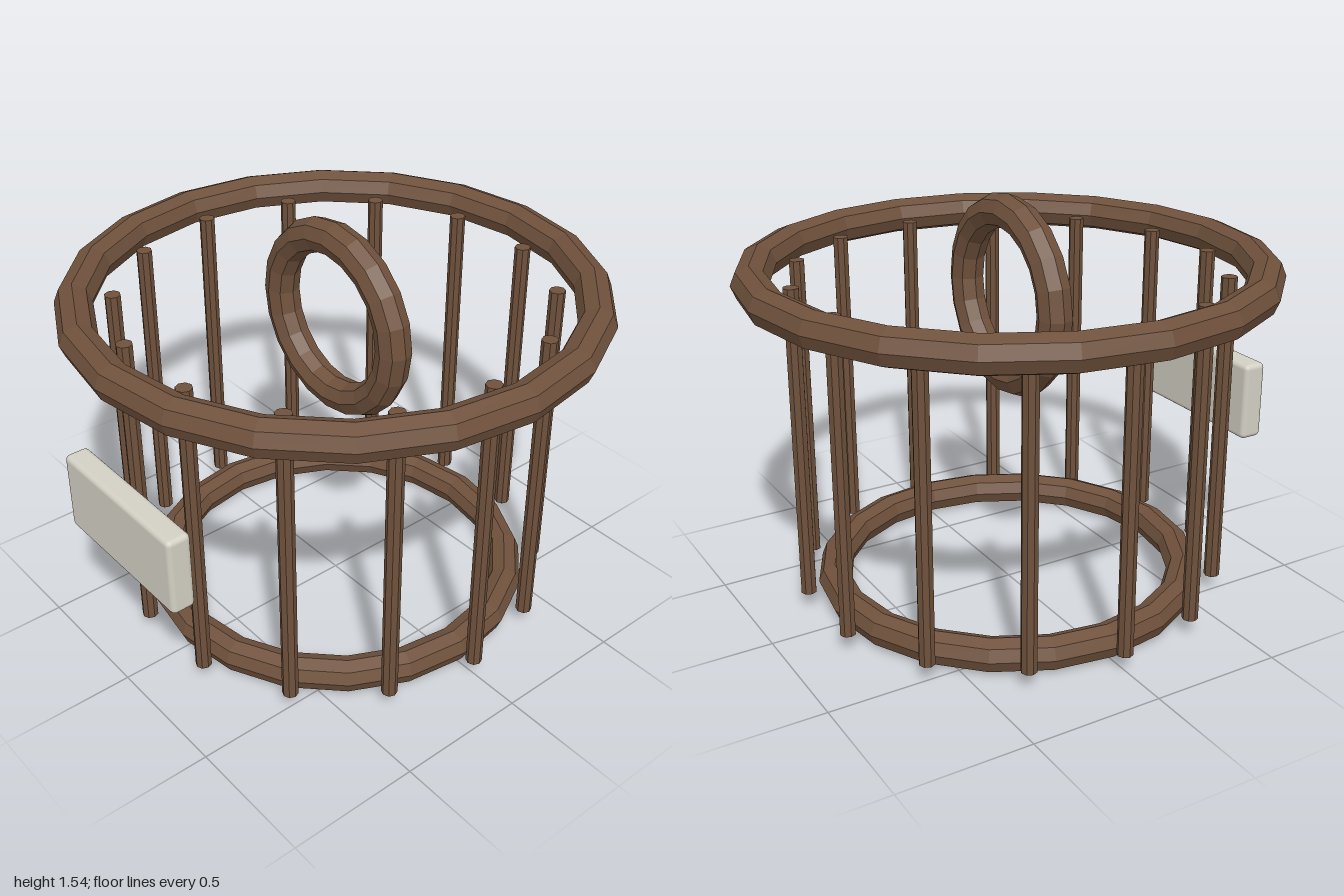
import * as THREE from 'three';
import { RoundedBoxGeometry } from 'three/addons/geometries/RoundedBoxGeometry.js';

export function createModel() {
  const model = new THREE.Group();
  const wood = new THREE.MeshStandardMaterial({ color: 0x6f513c, flatShading: true });
  wood.name = 'brown wood';
  const plateMat = new THREE.MeshStandardMaterial({ color: 0xd3d0c4 });
  plateMat.name = 'pale plate';

  const add = (name, geometry, material, x, y, z) => {
    const mesh = new THREE.Mesh(geometry, material);
    mesh.name = name;
    mesh.position.set(x, y, z);
    model.add(mesh);
    return mesh;
  };
  const ring = (name, radius, tube, y) =>
    add(name, new THREE.TorusGeometry(radius, tube, 8, 20), wood, 0, y, 0);

  // Horizontal hoops and the upright handle hoop
  ring('topHoop', 0.931, 0.069, 1.272).rotation.x = Math.PI / 2;
  ring('bottomHoop', 0.685, 0.064, 0.07).rotation.x = Math.PI / 2;
  ring('handleHoop', 0.315, 0.065, 1.17);

  // Upright bars standing in a circle
  const barCount = 14, barRadius = 0.797, barBottom = 0.073, barTop = 1.275;
  const barGeometry = new THREE.CylinderGeometry(0.03, 0.03, barTop - barBottom, 8);
  for (let i = 0; i < barCount; i++) {
    const a = (i / barCount) * Math.PI * 2;
    add('bar' + (i + 1), barGeometry, wood,
      Math.cos(a) * barRadius, (barBottom + barTop) / 2, Math.sin(a) * barRadius);
  }

  // Blank plate at the front
  add('frontPlate', new RoundedBoxGeometry(0.655, 0.31, 0.094, 2, 0.02), plateMat, 0, 0.672, 0.93);

  return model;
}
